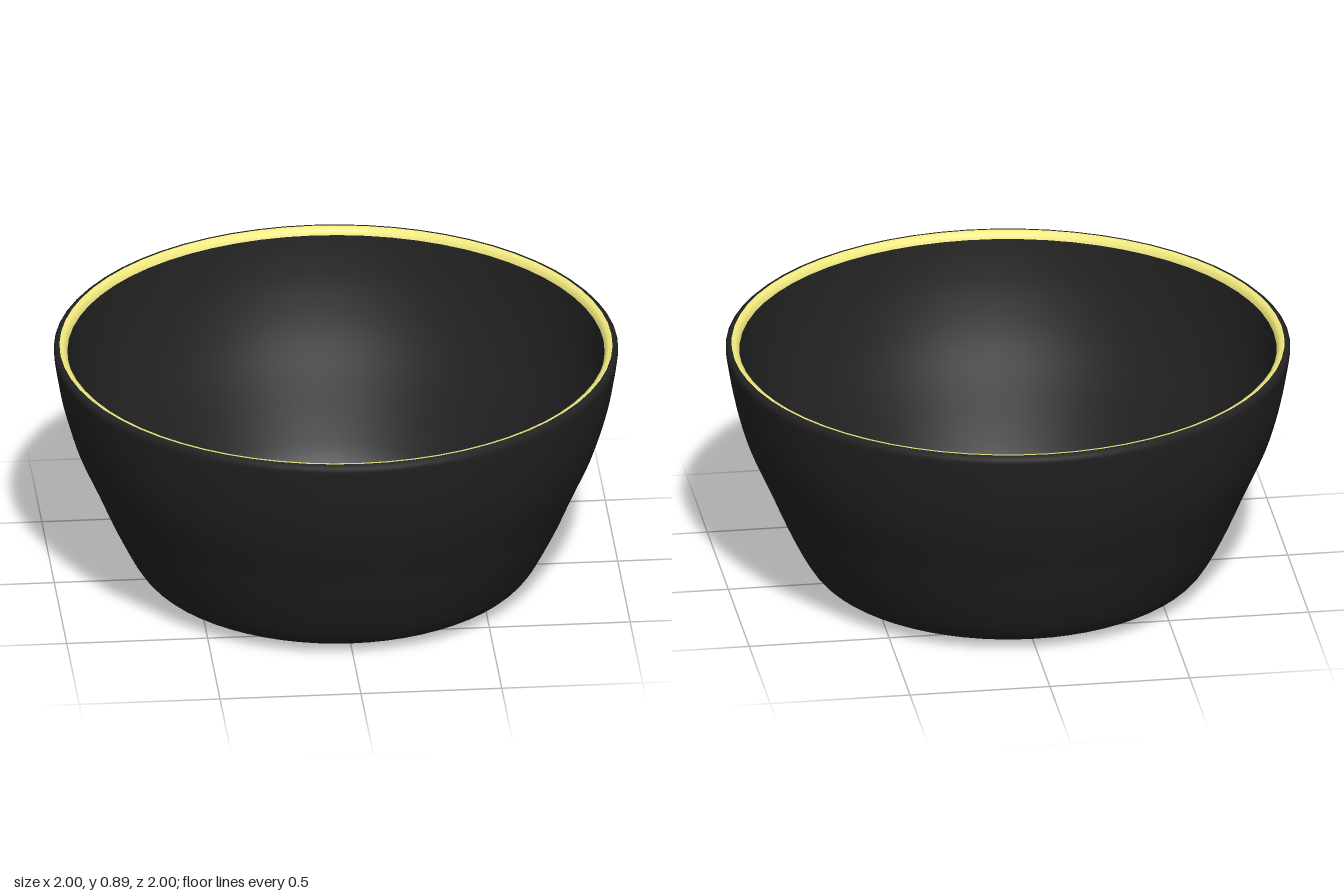
import * as THREE from 'three';

const SEGMENTS = 64;

// Revolve a list of [radius, height] points around the vertical axis
function revolve(name, points, color) {
  const profile = points.map(([r, y]) => new THREE.Vector2(r, y));
  const mesh = new THREE.Mesh(
    new THREE.LatheGeometry(profile, SEGMENTS),
    new THREE.MeshStandardMaterial({ color })
  );
  mesh.name = name;
  return mesh;
}

// Smooth a profile through its control points
function smooth(points, count) {
  const curve = new THREE.SplineCurve(points.map(([r, y]) => new THREE.Vector2(r, y)));
  return curve.getPoints(count).map((p) => [p.x, p.y]);
}

export function createModel() {
  const bowl = new THREE.Group();
  bowl.name = 'bowl';
  const dark = 0x222222;
  const yellow = 0xf2ea80;

  // Underside with a shallow foot
  bowl.add(revolve('base', [[0, 0], [0.57, 0], [0.585, 0.012]], dark));

  // Outer wall: round lower corner, sloping side, nearly upright lip
  const outer = smooth([
    [0.585, 0.012], [0.65, 0.03], [0.71, 0.08], [0.785, 0.22],
    [0.85, 0.37], [0.92, 0.53], [0.965, 0.68], [0.988, 0.8], [0.998, 0.865],
  ], 32);
  bowl.add(revolve('outerWall', [...outer, [0.998, 0.88], [0.99, 0.888], [0.978, 0.89]], dark));

  // Coloured band on top of the rim, rounding inwards
  bowl.add(revolve('rimBand', [[0.978, 0.89], [0.965, 0.888], [0.955, 0.88], [0.95, 0.865]], yellow));

  // Inner wall running down to a flat floor
  const inner = smooth([
    [0.95, 0.865], [0.938, 0.78], [0.915, 0.67], [0.87, 0.53],
    [0.8, 0.37], [0.735, 0.22], [0.685, 0.12], [0.64, 0.075], [0.58, 0.06],
  ], 32);
  bowl.add(revolve('innerWall', [...inner, [0, 0.06]], dark));

  return bowl;
}
